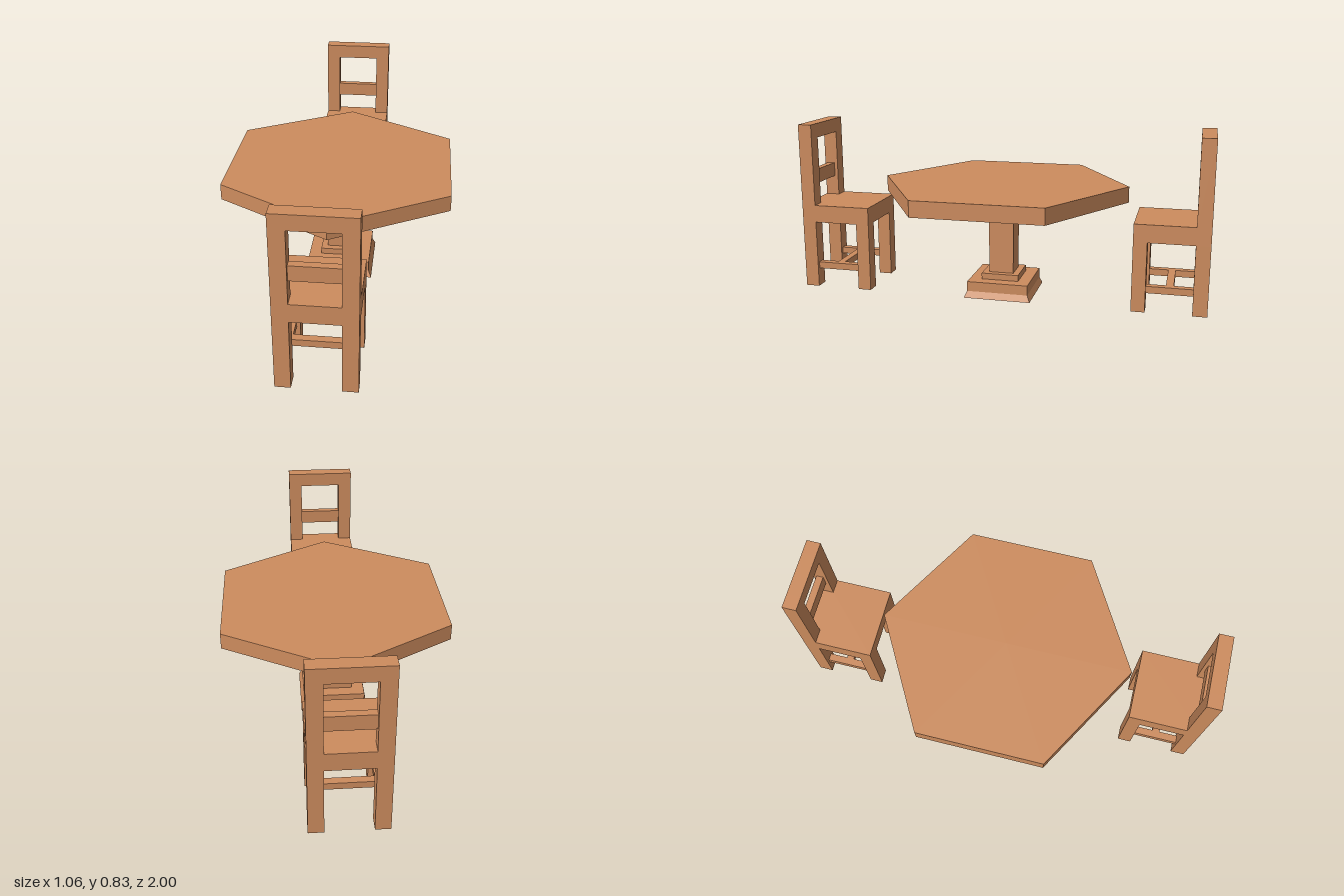
import * as THREE from 'three';

const wood = new THREE.MeshStandardMaterial({ color: 0xcd8c5e, flatShading: true });

function add(parent, name, geometry, x, y, z) {
  const mesh = new THREE.Mesh(geometry, wood);
  mesh.name = name;
  mesh.position.set(x, y, z);
  parent.add(mesh);
  return mesh;
}

// Box given by its minimum and maximum on each axis
function box(parent, name, [x0, x1], [y0, y1], [z0, z1]) {
  return add(parent, name, new THREE.BoxGeometry(x1 - x0, y1 - y0, z1 - z0),
    (x0 + x1) / 2, (y0 + y1) / 2, (z0 + z1) / 2);
}

// Square block centred on the table axis
function block(parent, name, half, y0, y1) {
  return box(parent, name, [-half, half], [y0, y1], [-half, half]);
}

function createTable() {
  const table = new THREE.Group();
  table.name = 'table';

  // Hexagonal top with corners pointing to the chairs
  add(table, 'tableTop', new THREE.CylinderGeometry(0.61, 0.61, 0.077, 6), 0, 0.5235, 0);

  // Pedestal: post, collar, plinth and flared foot
  block(table, 'post', 0.061, 0.11, 0.485);
  block(table, 'collar', 0.092, 0.08, 0.11);
  block(table, 'plinth', 0.151, 0.032, 0.08);
  const foot = add(table, 'flaredFoot',
    new THREE.CylinderGeometry(0.151 * Math.SQRT2, 0.165 * Math.SQRT2, 0.032, 4), 0, 0.016, 0);
  foot.rotation.y = Math.PI / 4;
  return table;
}

// Chair standing at +z, looking towards the table
function createChair(name) {
  const chair = new THREE.Group();
  chair.name = name;
  const W = 0.175, inner = 0.106;
  const front = 0.65, back = 1, postFront = 0.932, legBack = 0.715;
  const floor = 0.004, seatBottom = 0.34, seatTop = 0.426;

  box(chair, 'seat', [-W, W], [seatBottom, seatTop], [front, back]);

  for (const side of [-1, 1]) {
    const xs = side > 0 ? [inner, W] : [-W, -inner];
    box(chair, 'frontLeg', xs, [floor, seatBottom], [front, legBack]);
    box(chair, 'backLeg', xs, [floor, seatBottom], [postFront, back]);
    box(chair, 'backPost', xs, [seatTop, 0.83], [postFront, back]);
    // Side stretcher between front and back leg
    const mid = side * (W + inner) / 2;
    box(chair, 'sideStretcher', [mid - 0.018, mid + 0.018], [0.094, 0.127], [legBack, postFront]);
  }

  // Cross stretcher joining the side stretchers
  box(chair, 'crossStretcher', [-0.123, 0.123], [0.094, 0.127], [0.806, 0.842]);

  // Backrest
  box(chair, 'topRail', [-inner, inner], [0.76, 0.83], [postFront, back]);
  box(chair, 'backSlat', [-inner, inner], [0.525, 0.595], [0.949, 0.983]);
  return chair;
}

export function createModel() {
  const model = new THREE.Group();
  model.name = 'diningSet';
  model.add(createTable());
  model.add(createChair('frontChair'));
  const backChair = createChair('backChair');
  backChair.rotation.y = Math.PI;
  model.add(backChair);
  return model;
}
